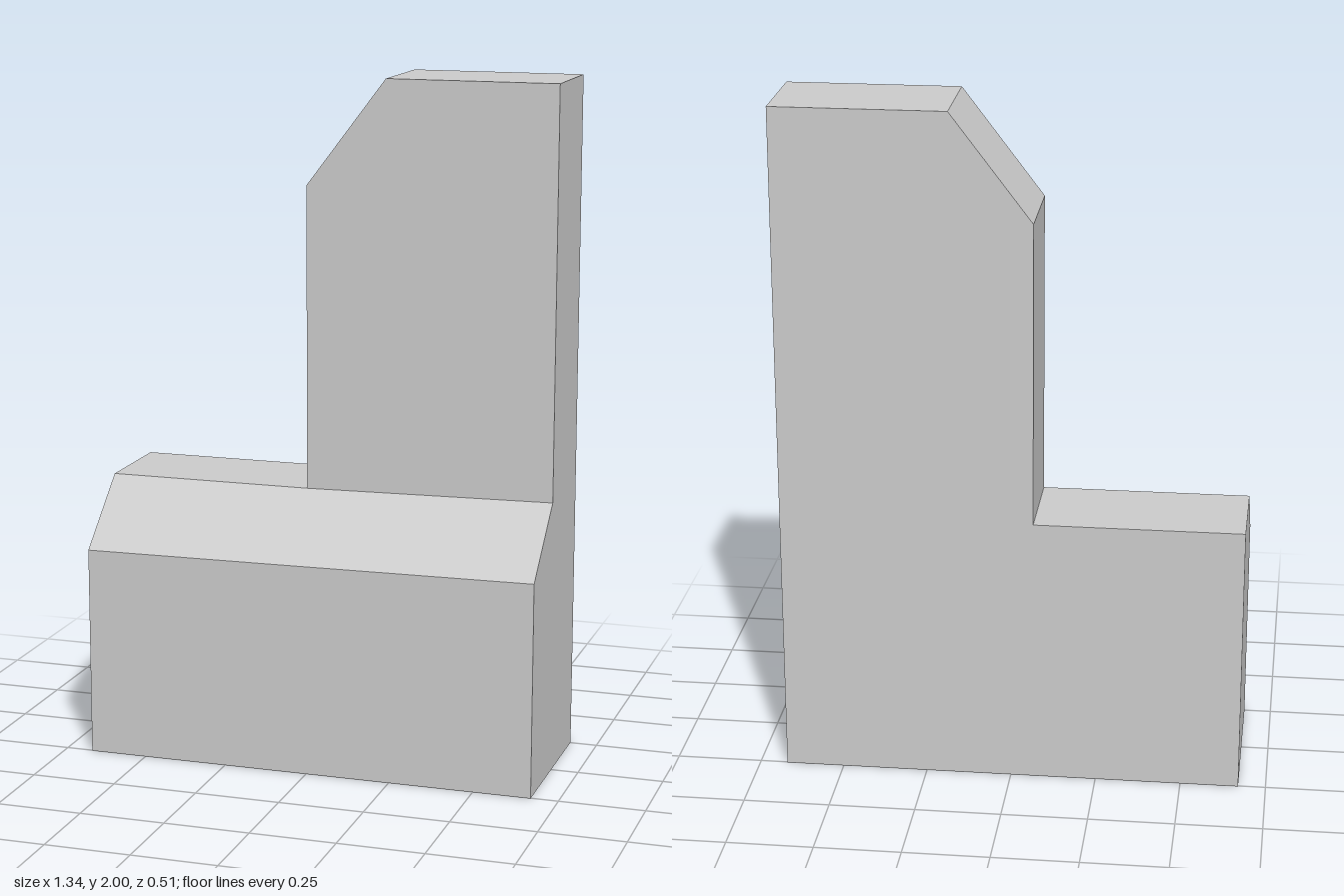
import * as THREE from 'three';

const W = 0.67, BACK = -0.253, RIDGE = 0.04, FRONT = 0.253;

// Flat-faced mesh from convex polygons, corners counter-clockwise from outside
function faceted(name, polygons, material) {
  const positions = [];
  for (const p of polygons)
    for (let i = 1; i < p.length - 1; i++) positions.push(...p[0], ...p[i], ...p[i + 1]);
  const geometry = new THREE.BufferGeometry();
  geometry.setAttribute('position', new THREE.Float32BufferAttribute(positions, 3));
  geometry.computeVertexNormals();
  const mesh = new THREE.Mesh(geometry, material);
  mesh.name = name;
  return mesh;
}

export function createModel() {
  const group = new THREE.Group();
  group.name = 'steppedBlock';
  const grey = new THREE.MeshStandardMaterial({ color: 0xcccccc });
  grey.name = 'lightGrey';

  // Tower outline from the lower inner corner, counter-clockwise
  const tower = [[-0.065, 0.80], [W, 0.812], [W, 2], [0.17, 2], [-0.065, 1.69]];
  const towerFaces = [
    tower.map(([x, y]) => [x, y, RIDGE]),
    tower.map(([x, y]) => [x, y, BACK]).reverse(),
  ];
  for (let i = 1; i < tower.length; i++) {
    const [a, b] = [tower[i], tower[(i + 1) % tower.length]];
    towerFaces.push([[...a, RIDGE], [...a, BACK], [...b, BACK], [...b, RIDGE]]);
  }
  group.add(faceted('tower', towerFaces, grey));

  // Base cross-sections along x: front to back around the profile
  const section = (x, lip, ridge) => [
    [x, 0, BACK], [x, 0, FRONT], [x, lip, FRONT], [x, ridge, RIDGE], [x, ridge, BACK],
  ];
  const sections = [
    section(-W, 0.618, 0.80), section(-0.065, 0.623, 0.80), section(W, 0.63, 0.812),
  ];
  const baseFaces = [sections[0], [...sections[2]].reverse()];
  for (let s = 0; s < 2; s++) {
    const [a, b] = [sections[s], sections[s + 1]];
    for (let i = 0; i < 5; i++) {
      if (s === 1 && i === 3) continue; // covered by the tower
      const j = (i + 1) % 5;
      baseFaces.push([a[i], b[i], b[j], a[j]]);
    }
  }
  group.add(faceted('base', baseFaces, grey));
  return group;
}
